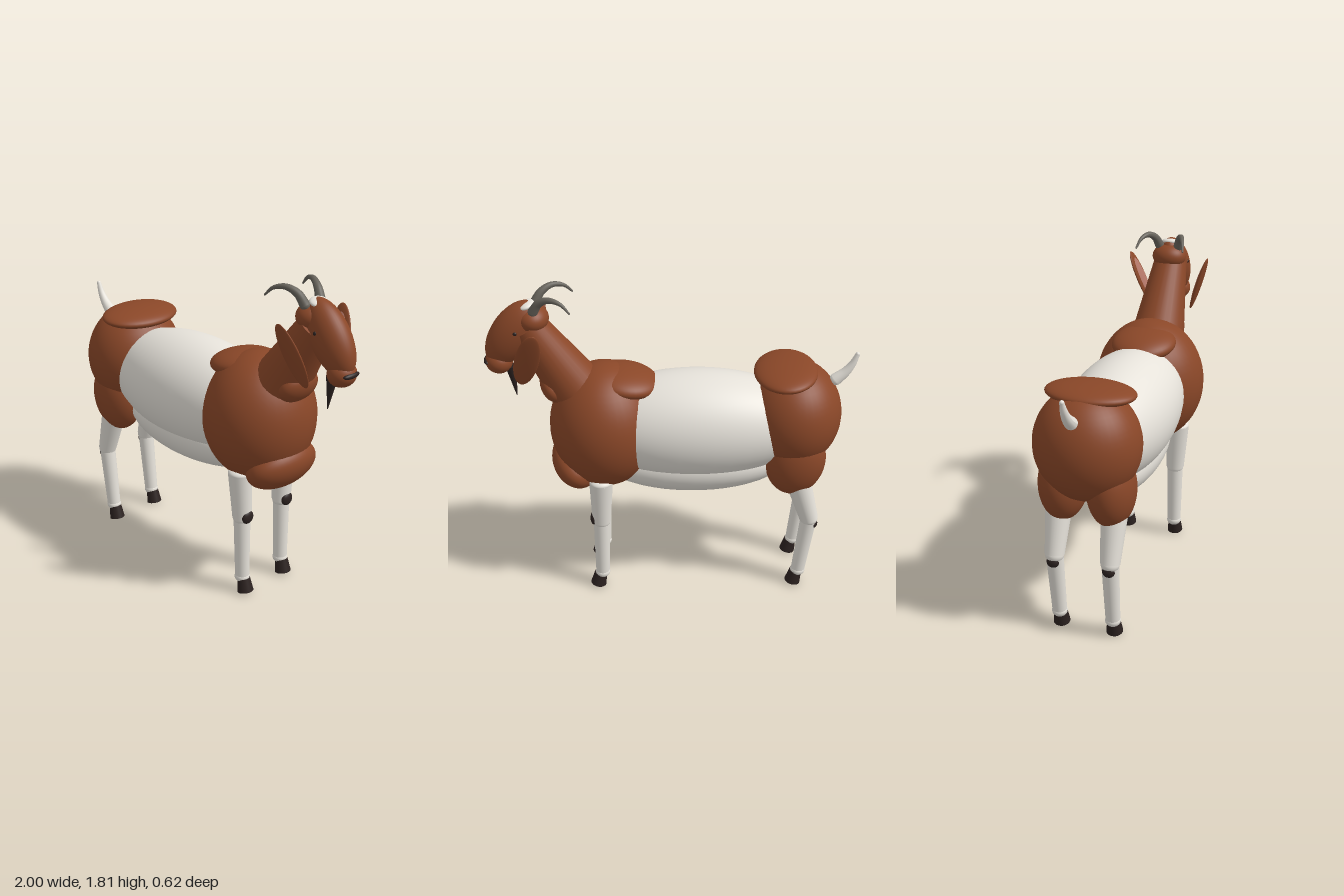
import * as THREE from 'three';

const mat = (color) => new THREE.MeshStandardMaterial({ color });
const brown = mat(0x8a4728), white = mat(0xe6e2da), dark = mat(0x2c2220);
const hornGrey = mat(0x68645c), pink = mat(0xb5796a);

export function createModel() {
  const goat = new THREE.Group();
  goat.name = 'goat';

  const add = (name, geometry, material, parent = goat) => {
    const mesh = new THREE.Mesh(geometry, material);
    mesh.name = name;
    parent.add(mesh);
    return mesh;
  };

  // Ellipsoid with centre, radii and a tilt in the side plane
  const blob = (name, material, pos, radii, tilt = 0, parent = goat) => {
    const mesh = add(name, new THREE.SphereGeometry(1, 40, 28), material, parent);
    mesh.position.set(...pos);
    mesh.scale.set(...radii);
    mesh.rotation.z = tilt;
    return mesh;
  };

  // Tapered cylinder from a (radius ra) to b (radius rb)
  const limb = (name, material, a, b, ra, rb, parent = goat) => {
    const from = new THREE.Vector3(...a), to = new THREE.Vector3(...b);
    const dir = to.clone().sub(from);
    const mesh = add(name, new THREE.CylinderGeometry(rb, ra, dir.length(), 28), material, parent);
    mesh.position.copy(from).add(to).multiplyScalar(0.5);
    mesh.quaternion.setFromUnitVectors(new THREE.Vector3(0, 1, 0), dir.normalize());
    return mesh;
  };

  // Tube along points whose radius shrinks from r0 to r1, with rounded-off ends
  const taperedTube = (name, material, points, r0, r1) => {
    const curve = new THREE.CatmullRomCurve3(points.map((p) => new THREE.Vector3(...p)));
    const segments = 24, sides = 16;
    const geometry = new THREE.TubeGeometry(curve, segments, 1, sides);
    const pos = geometry.attributes.position, v = new THREE.Vector3();
    for (let i = 0; i < pos.count; i++) {
      const t = Math.floor(i / (sides + 1)) / segments;
      const centre = curve.getPointAt(t);
      v.fromBufferAttribute(pos, i).sub(centre).multiplyScalar(r0 + (r1 - r0) * t).add(centre);
      pos.setXYZ(i, v.x, v.y, v.z);
    }
    geometry.computeVertexNormals();
    add(name, geometry, material);
    blob(name + 'Base', material, points[0], [r0, r0, r0].map((r) => r * 0.95));
    blob(name + 'Tip', material, points[points.length - 1], [r1, r1, r1]);
  };

  // Trunk
  blob('barrel', white, [-0.13, 1.02, 0], [0.64, 0.305, 0.295]);
  blob('belly', white, [-0.12, 0.80, 0], [0.53, 0.18, 0.228]);
  blob('chest', brown, [0.37, 1.02, 0], [0.3, 0.36, 0.31]);
  blob('brisket', brown, [0.535, 0.785, 0], [0.15, 0.115, 0.225], 0.75);
  blob('withers', brown, [0.25, 1.29, 0], [0.185, 0.07, 0.18], 0.15);
  blob('rump', brown, [-0.665, 1.08, 0], [0.26, 0.3, 0.28]);
  blob('croup', brown, [-0.61, 1.333, 0], [0.171, 0.05, 0.237], -0.06);
  taperedTube('tail', white,
    [[-0.88, 1.28, 0], [-0.93, 1.325, 0], [-0.965, 1.375, 0], [-0.988, 1.432, 0]], 0.034, 0.012);

  // Neck and head
  limb('neck', brown, [0.53, 1.27, 0], [0.755, 1.62, 0], 0.148, 0.095);
  blob('throat', brown, [0.635, 1.265, 0], [0.068, 0.095, 0.125], -0.5);
  blob('poll', brown, [0.725, 1.66, 0], [0.085, 0.072, 0.098]);
  blob('skull', brown, [0.835, 1.575, 0], [0.112, 0.21, 0.092], 0.6);
  blob('muzzle', brown, [0.918, 1.412, 0], [0.073, 0.067, 0.076], 0.2);
  blob('nose', dark, [0.977, 1.42, 0], [0.02, 0.016, 0.055]);
  blob('forelock', white, [0.755, 1.735, 0], [0.045, 0.02, 0.055], -0.3);
  blob('muzzleSpot', white, [0.957, 1.493, 0], [0.016, 0.022, 0.018], 0.4);
  limb('beard', dark, [0.858, 1.38, 0], [0.838, 1.2, 0], 0.03, 0.002);

  // Mirrored parts
  for (const s of [1, -1]) {
    const side = s > 0 ? 'right' : 'left';
    blob(side + 'Eye', dark, [0.812, 1.61, s * 0.086], [0.011, 0.011, 0.009]);
    taperedTube(side + 'Horn', hornGrey, [
      [0.715, 1.72, s * 0.055], [0.68, 1.775, s * 0.072], [0.625, 1.803, s * 0.098],
      [0.565, 1.79, s * 0.122], [0.523, 1.748, s * 0.137],
    ], 0.027, 0.005);

    // Ear leaning outwards with a pale inner face
    const ear = new THREE.Group();
    ear.name = side + 'Ear';
    ear.position.set(0.75, 1.5, s * 0.176);
    ear.rotation.set(s * 0.33, 0, 0.25);
    ear.rotation.order = 'XYZ';
    blob('earShell', brown, [0, 0, 0], [0.064, 0.183, 0.015], 0, ear);
    blob('earInner', pink, [0, 0, -s * 0.006], [0.047, 0.145, 0.0125], 0, ear);
    goat.add(ear);

    // Legs: top, joint and ankle as [x, y, z], radii, and dark knee patch offset
    blob(side + 'Thigh', brown, [-0.675, 0.85, s * 0.13], [0.165, 0.212, 0.125], 0.12);
    const legs = [
      ['Fore', [0.395, 0.74, s * 0.165], [0.4, 0.47, s * 0.152], [0.405, 0.1, s * 0.15], [0.065, 0.052],
        [0.443, 0.485, s * 0.152], [0.02, 0.038, 0.038]],
      ['Hind', [-0.69, 0.74, s * 0.15], [-0.77, 0.47, s * 0.152], [-0.728, 0.1, s * 0.15], [0.072, 0.052],
        [-0.797, 0.437, s * 0.152], [0.024, 0.032, 0.034]],
    ];
    for (const [kind, top, joint, ankle, [rTop, rJoint], patch, patchSize] of legs) {
      const leg = new THREE.Group();
      leg.name = side + kind + 'Leg';
      goat.add(leg);
      limb('upperLeg', white, top, joint, rTop, rJoint, leg);
      blob('legTop', white, top, [rTop, 0.03, rTop], 0, leg);
      blob('joint', white, joint, [0.05, 0.045, 0.05], 0, leg);
      limb('lowerLeg', white, joint, ankle, 0.046, 0.039, leg);
      blob('ankle', white, ankle, [0.042, 0.034, 0.042], 0, leg);
      blob('kneePatch', dark, patch, patchSize, 0, leg);
      const [x, , z] = ankle;
      limb('hoof', dark, [x + 0.027, 0.017, z], [x + 0.012, 0.092, z], 0.045, 0.035, leg);
    }
  }
  return goat;
}
